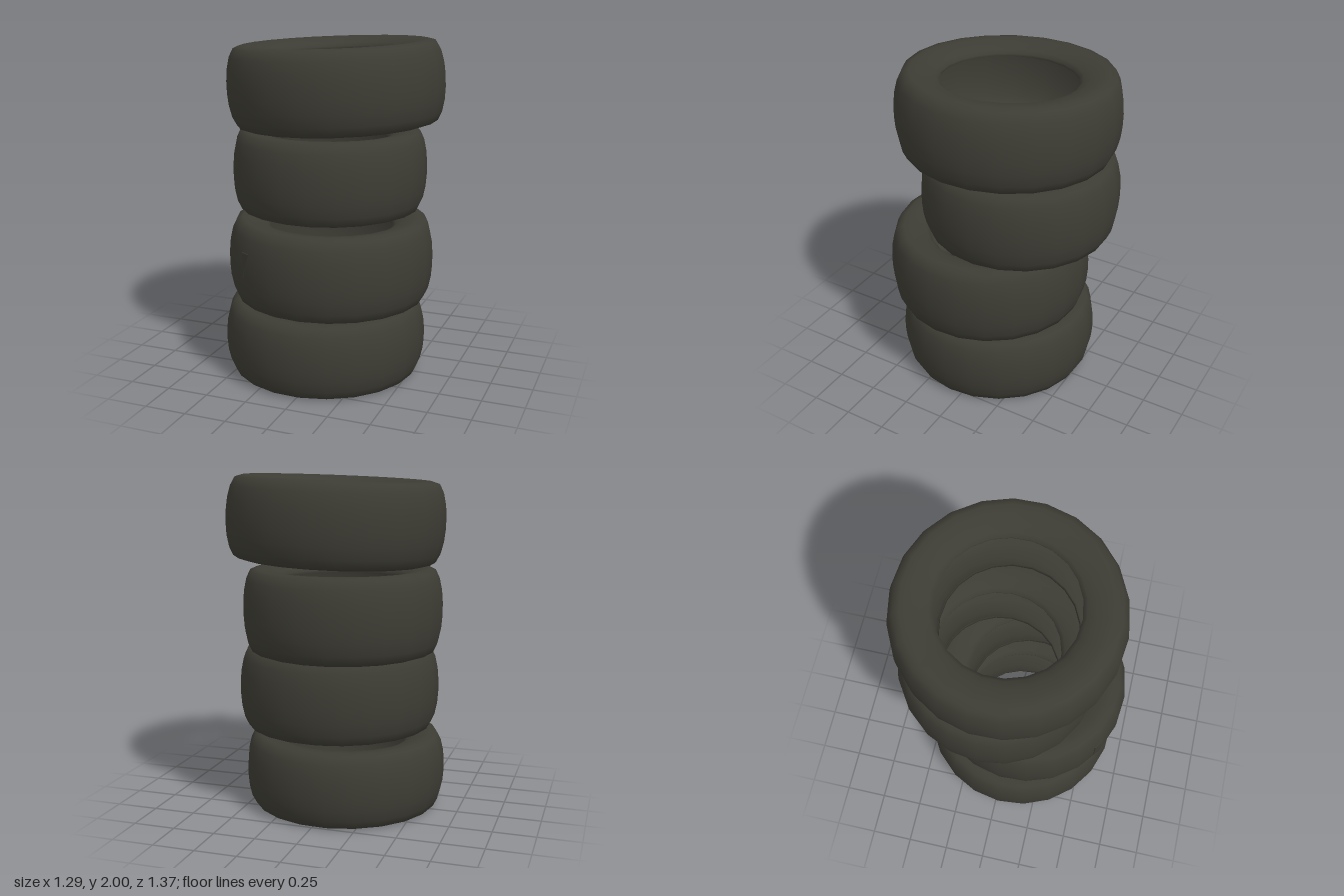
import * as THREE from 'three';

const SIDES = 22;

// Lower half of the tyre section: [radius / outer radius, height / half height]
const HALF = [
  [0.612, -0.70], [0.605, -0.77], [0.64, -0.85], [0.71, -0.94], [0.80, -0.99],
  [0.865, -1.0], [0.925, -0.95], [0.965, -0.74], [0.99, -0.45], [1.0, -0.15],
];

// Hollow carcass, open towards the hub
function tyreGeometry(radius, height) {
  const section = [...HALF, ...HALF.map(([r, y]) => [r, -y]).reverse()];
  const points = section.map(([r, y]) => new THREE.Vector2(r * radius, y * height / 2));
  return new THREE.LatheGeometry(points, SIDES);
}

export function createModel() {
  const rubber = new THREE.MeshStandardMaterial({ color: 0x3d3c34, side: THREE.DoubleSide });
  rubber.name = 'dark rubber';

  const stack = new THREE.Group();
  stack.name = 'tyreStack';

  // Tyres from the ground up, each shifted a little; the top one leans
  const tyres = [
    { name: 'bottomTyre', x: -0.035, y: 0.222, z: 0.05, radius: 0.608, height: 0.444, lean: 0, turn: 0.1 },
    { name: 'secondTyre', x: 0.015, y: 0.722, z: 0.08, radius: 0.608, height: 0.492, lean: -0.005, turn: 0.05 },
    { name: 'thirdTyre', x: -0.058, y: 1.217, z: -0.085, radius: 0.588, height: 0.488, lean: 0, turn: 0.15 },
    { name: 'topTyre', x: 0, y: 1.738, z: -0.037, radius: 0.643, height: 0.476, lean: 0.04, turn: 0.03 },
  ];
  for (const t of tyres) {
    const tyre = new THREE.Mesh(tyreGeometry(t.radius, t.height), rubber);
    tyre.name = t.name;
    tyre.position.set(t.x, t.y, t.z);
    tyre.rotation.set(0, t.turn, t.lean);
    stack.add(tyre);
  }

  // Small triangular nick in the tread of the second tyre
  const nickShape = new THREE.Shape([
    new THREE.Vector2(-0.033, 0.075), new THREE.Vector2(-0.033, -0.075), new THREE.Vector2(0.033, 0.075),
  ]);
  const nick = new THREE.Mesh(
    new THREE.ExtrudeGeometry(nickShape, { depth: 0.006, bevelEnabled: false }), rubber);
  nick.name = 'treadNick';
  const angle = -0.565;
  nick.position.set(0.015 + 0.6 * Math.sin(angle), 0.755, 0.08 + 0.6 * Math.cos(angle));
  nick.rotation.y = angle;
  stack.add(nick);

  return stack;
}
